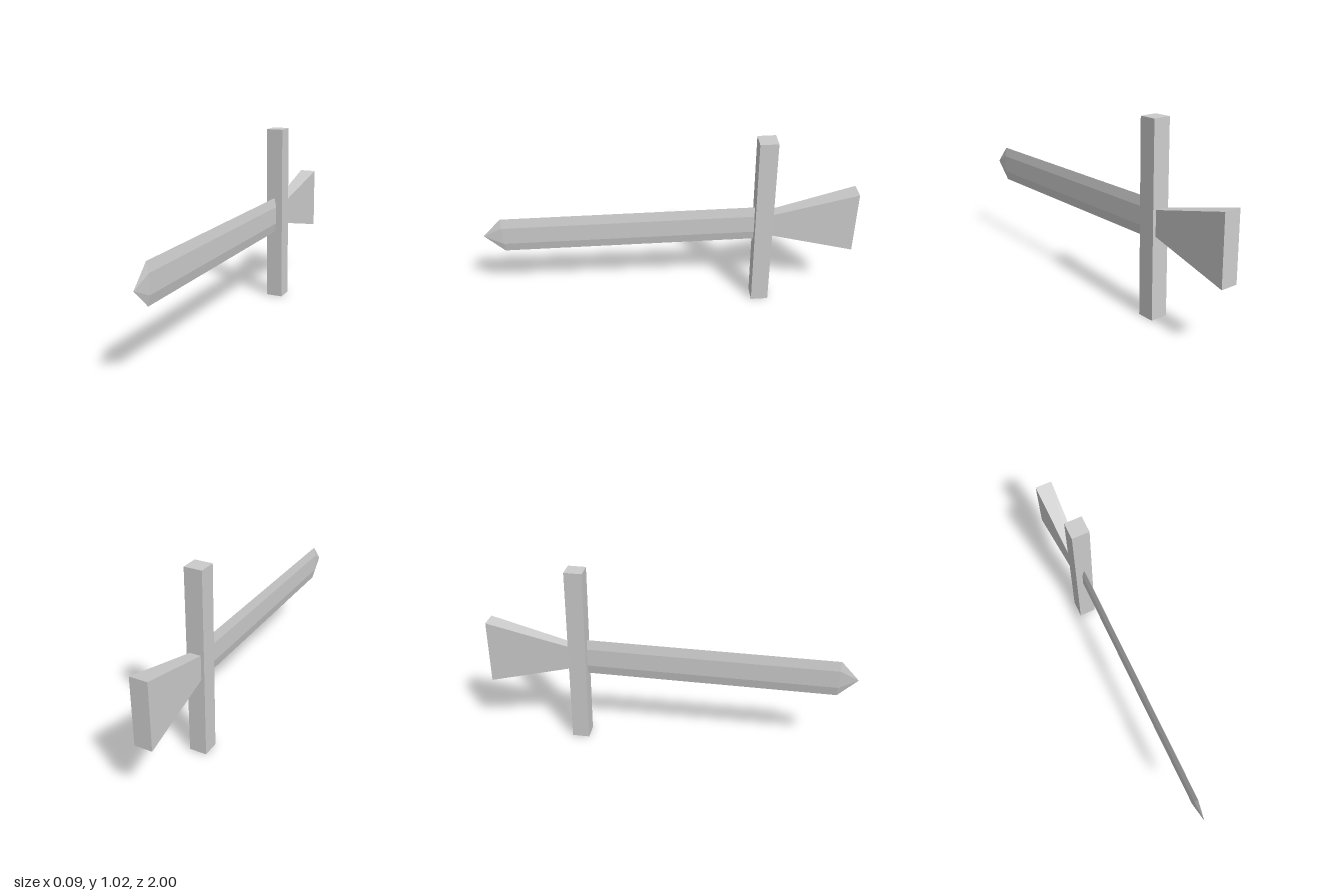
import * as THREE from 'three';

const material = new THREE.MeshStandardMaterial({ color: 0xcccccc, flatShading: true });

// Skin a solid along z: an outline [x, y] is scaled by each section [z, sx, sy].
function loft(outline, sections) {
  const pos = [], n = outline.length;
  const at = (s, i) => [outline[i % n][0] * s[1], outline[i % n][1] * s[2], s[0]];
  for (let k = 0; k < sections.length - 1; k++) {
    const a = sections[k], b = sections[k + 1];
    for (let i = 0; i < n; i++) {
      pos.push(...at(a, i), ...at(a, i + 1), ...at(b, i + 1));
      pos.push(...at(a, i), ...at(b, i + 1), ...at(b, i));
    }
  }
  // End caps
  const first = sections[0], last = sections[sections.length - 1];
  for (let i = 0; i < n; i++) {
    pos.push(...at(first, i + 1), ...at(first, i), 0, 0, first[0]);
    pos.push(...at(last, i), ...at(last, i + 1), 0, 0, last[0]);
  }
  const geometry = new THREE.BufferGeometry();
  geometry.setAttribute('position', new THREE.Float32BufferAttribute(pos, 3));
  geometry.computeVertexNormals();
  return geometry;
}

export function createModel() {
  const model = new THREE.Group();
  model.name = 'sword';

  // Whole sword lies along z, dipping slightly toward the tip
  const body = new THREE.Group();
  body.name = 'swordBody';
  body.position.set(0, 0.511, -0.5);
  body.rotation.x = 0.022;
  model.add(body);

  const add = (name, geometry) => {
    const mesh = new THREE.Mesh(geometry, material);
    mesh.name = name;
    body.add(mesh);
  };

  // Crossguard
  add('crossguard', new THREE.BoxGeometry(0.095, 1.015, 0.095));

  // Thin six-sided blade, narrowing to a point
  const hexagon = [[0, -0.103], [0.011, -0.05], [0.011, 0.05], [0, 0.103], [-0.011, 0.05], [-0.011, -0.05]];
  add('blade', loft(hexagon, [[0.04, 1, 1], [1.4, 1, 1], [1.5, 0.02, 0.005]]));

  // Grip flaring toward the pommel end
  const square = [[-1, -1], [1, -1], [1, 1], [-1, 1]];
  add('grip', loft(square, [[-0.495, 0.047, 0.179], [-0.045, 0.03, 0.067]]));

  return model;
}
